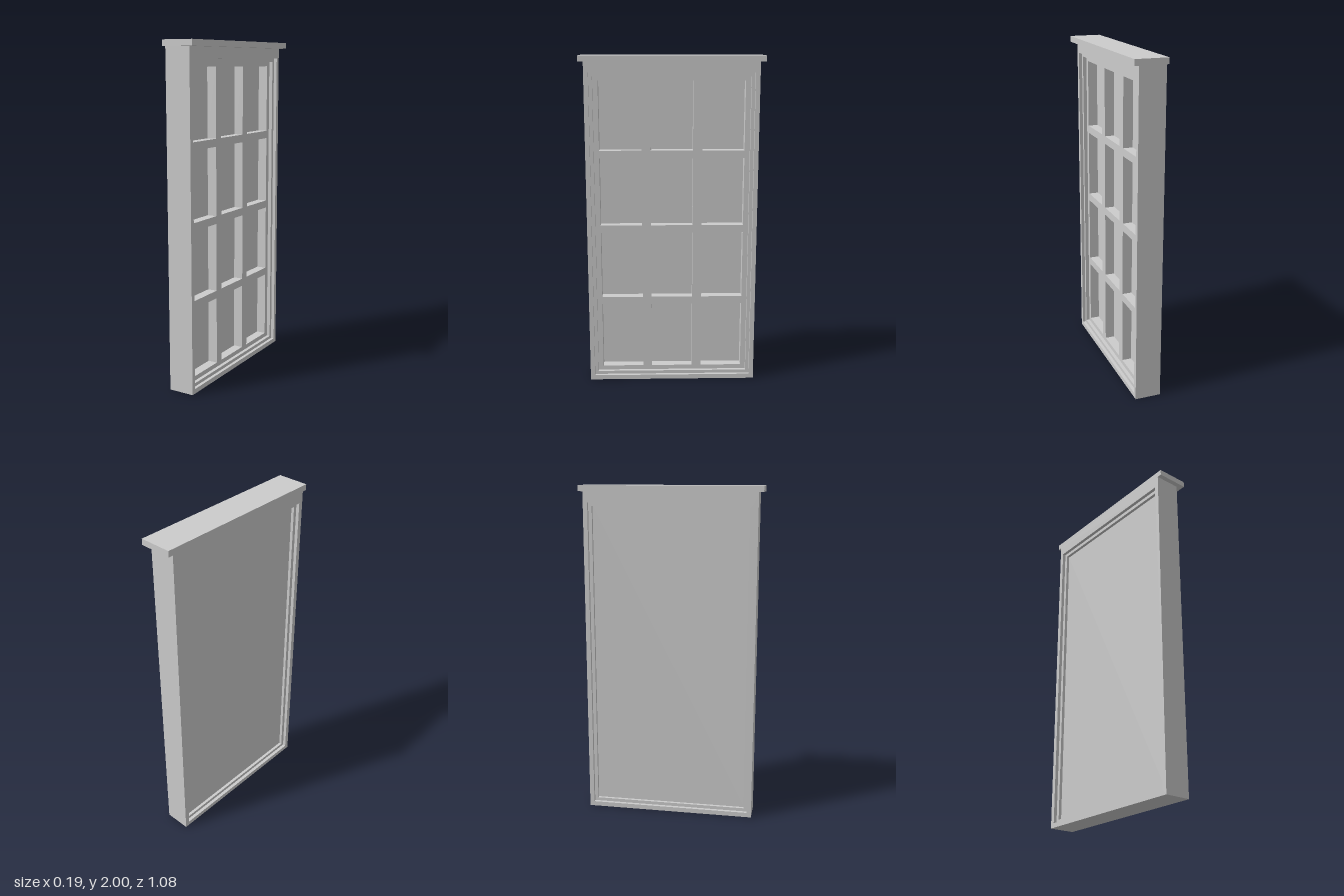
import * as THREE from 'three';

const material = new THREE.MeshStandardMaterial({ color: 0xcccccc });

// Adds a rectangle (half width w, from y0 to y1, centred on cx) to a shape or hole path
function rect(path, cx, w, y0, y1) {
  path.moveTo(cx - w, y0);
  path.lineTo(cx + w, y0);
  path.lineTo(cx + w, y1);
  path.lineTo(cx - w, y1);
  path.closePath();
  return path;
}

// Upright slab facing x, between x0 and x1, with rectangular holes
function slab(name, outer, holes, x0, x1) {
  const shape = rect(new THREE.Shape(), ...outer);
  holes.forEach(h => shape.holes.push(rect(new THREE.Path(), ...h)));
  const geometry = new THREE.ExtrudeGeometry(shape, { depth: x1 - x0, bevelEnabled: false });
  geometry.rotateY(Math.PI / 2).translate(x0, 0, 0);
  const mesh = new THREE.Mesh(geometry, material);
  mesh.name = name;
  return mesh;
}

export function createModel() {
  const group = new THREE.Group();
  group.name = 'window';

  const body = [0, 0.512, 0, 1.965];
  const opening = [0, 0.485, 0.028, 1.902];
  const rebate = [0, 0.464, 0.048, 1.88];

  // Pane openings: three columns by four rows
  const panes = [];
  for (let row = 0; row < 4; row++) {
    const y = 0.075 + row * 0.4567;
    for (let col = -1; col <= 1; col++) panes.push([col * 0.307, 0.126, y, y + 0.41]);
  }

  // Casing, stepped stop, glazing grid and the flat panel behind it
  group.add(
    slab('outerFrame', body, [opening], -0.096, 0.06),
    slab('innerFrame', opening, [rebate], -0.076, 0.04),
    slab('glazingBars', rebate, panes, -0.041, 0.018),
    slab('pane', rebate, [], -0.058, -0.041)
  );

  // Cap overhanging the front and both ends
  const cap = new THREE.Mesh(new THREE.BoxGeometry(0.192, 0.035, 1.08), material);
  cap.name = 'cap';
  cap.position.set(0, 1.9825, 0);
  group.add(cap);

  return group;
}
